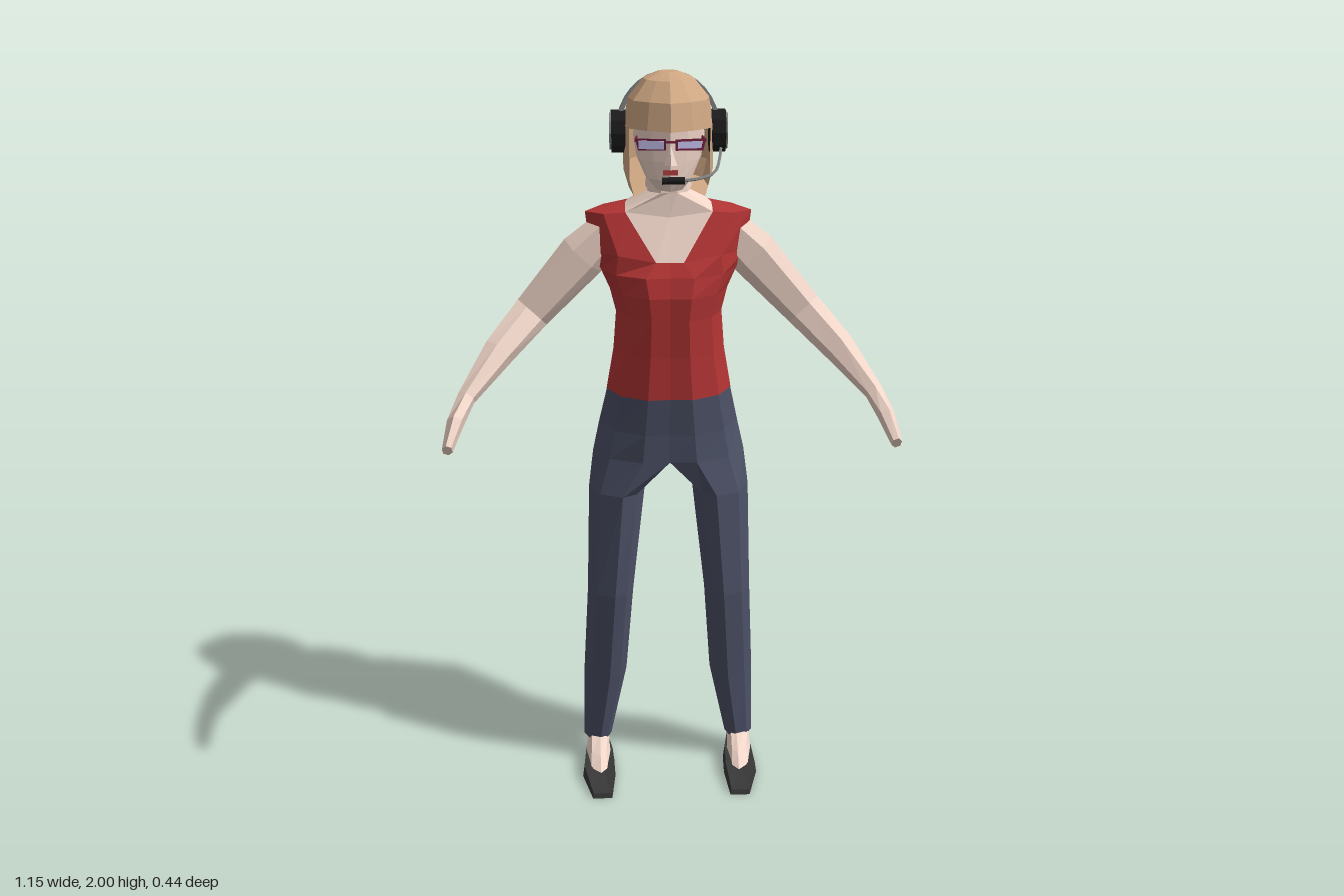
import * as THREE from 'three';

const SKIN = 0xf0d5c8, RED = 0xb23434, DENIM = 0x4c5166, HAIR = 0xcfa783,
  BLACK = 0x1c1c1c, SHOE = 0x383838, GREY = 0x858585, FRAME = 0x6e1f3a, LENS = 0xc4c0ee;

const material = (color) => new THREE.MeshStandardMaterial({ color, flatShading: true, side: THREE.DoubleSide });

function mesh(name, color, geometry, x = 0, y = 0, z = 0) {
  const m = new THREE.Mesh(geometry, material(color));
  m.name = name;
  m.position.set(x, y, z);
  return m;
}

// Skin closed rings of points; keep(row, column) selects faces, caps close the ends
function loft(name, color, rings, { keep = () => true, caps = false } = {}) {
  const out = [], n = rings[0].length;
  for (let i = 0; i < rings.length - 1; i++) {
    for (let j = 0; j < n; j++) {
      if (!keep(i, j)) continue;
      const k = (j + 1) % n;
      const [a, b, c, d] = [rings[i][j], rings[i][k], rings[i + 1][k], rings[i + 1][j]];
      out.push(...a, ...b, ...c, ...a, ...c, ...d);
    }
  }
  if (caps) [rings[0], rings.at(-1)].forEach((r, end) => {
    const mid = [0, 1, 2].map((q) => r.reduce((s, p) => s + p[q], 0) / n);
    r.forEach((p, j) => {
      const next = r[(j + 1) % n];
      out.push(...mid, ...(end ? p : next), ...(end ? next : p));
    });
  });
  const g = new THREE.BufferGeometry();
  g.setAttribute('position', new THREE.Float32BufferAttribute(out, 3));
  g.computeVertexNormals();
  return mesh(name, color, g);
}

// Half ring (front centre to back centre) completed on the other side
const whole = (half) => [...half, ...half.slice(1, -1).reverse().map(([x, y, z]) => [-x, y, z])];
const flip = (rings) => rings.map((r) => r.map(([x, y, z]) => [-x, y, z]).reverse());

const BODY = [[0, 0.96], [0.35, 1], [0.78, 0.65], [1, 0], [0.82, -0.7], [0.4, -1], [0, -0.93]];
const HEAD = [[0, 1], [0.5, 0.78], [0.88, 0.5], [1, -0.1], [0.9, -0.6], [0.45, -0.92], [0, -1]];
const section = (profile, [y, w, front, back]) => profile.map(([px, pz]) =>
  [px * w, y, (front + back) / 2 + pz * (front - back) / 2]);

// Leg ring between an inner and an outer x
const LEG = [[0.15, 0.75], [0.4, 1], [0.8, 0.7], [1, 0], [0.85, -0.7], [0.5, -1], [0.15, -0.75], [0, 0]];
const legRing = ([y, inner, outer, front, back]) => LEG.map(([t, s]) =>
  [inner + t * (outer - inner), y, (front + back) / 2 + s * (front - back) / 2]);

// Rings across a path of [x, y, z, depth, thickness]
function limb(path, sides = 6) {
  const pts = path.map(([x, y, z]) => new THREE.Vector3(x, y, z));
  return path.map(([, , , a, b], i) => {
    const t = pts[Math.min(i + 1, pts.length - 1)].clone().sub(pts[Math.max(i - 1, 0)]).normalize();
    const u = new THREE.Vector3(0, 0, 1).addScaledVector(t, -t.z).normalize();
    const v = t.clone().cross(u);
    return Array.from({ length: sides }, (_, j) => {
      const q = (j + 0.5) / sides * Math.PI * 2;
      return pts[i].clone().addScaledVector(u, a * Math.cos(q)).addScaledVector(v, b * Math.sin(q)).toArray();
    });
  });
}

export function createModel() {
  const model = new THREE.Group();
  model.name = 'woman';
  const both = (name, color, rings, options) => model.add(
    loft('left' + name, color, rings, options), loft('right' + name, color, flip(rings), options));

  // Torso: fitted top with a scooped neckline, bare chest and upper back
  const torso = [[1.185, 0.165, 0.035, -0.175], [1.3, 0.145, 0.037, -0.165], [1.4, 0.137, 0.045, -0.17],
    [1.46, 0.152, 0.05, -0.185], [1.51, 0.175, 0.038, -0.19]].map((s) => whole(section(BODY, s)));
  torso.push(
    whole([[0, 1.545, 0.013], [0.035, 1.545, 0.015], [0.13, 1.56, 0], [0.2, 1.55, -0.09],
      [0.15, 1.56, -0.165], [0.06, 1.6, -0.19], [0, 1.6, -0.185]]),
    whole([[0, 1.65, -0.03], [0.11, 1.662, -0.04], [0.165, 1.657, -0.045], [0.212, 1.655, -0.09],
      [0.165, 1.66, -0.15], [0.1, 1.67, -0.165], [0, 1.665, -0.175]]),
    whole([[0, 1.65, -0.03], [0.11, 1.662, -0.04], [0.11, 1.67, -0.06], [0.11, 1.675, -0.095],
      [0.105, 1.675, -0.13], [0.1, 1.67, -0.165], [0, 1.665, -0.175]]),
    whole(section(BODY, [1.71, 0.06, -0.035, -0.145])),
    whole(section(BODY, [1.8, 0.05, -0.04, -0.13])));
  const covered = (i, j) => i < 5 || (i < 7 && ((j >= 1 && j <= 4) || (j >= 7 && j <= 10)));
  model.add(loft('top', RED, torso, { keep: covered }));
  model.add(loft('chestAndNeck', SKIN, torso, { keep: (i, j) => !covered(i, j) }));

  // Trousers: hips, then two legs splitting at the crotch
  const hip = section(BODY, [1.0, 0.205, 0.015, -0.195]);
  model.add(loft('hips', DENIM, [whole(hip), whole(section(BODY, [1.08, 0.187, 0.02, -0.225])),
    whole(section(BODY, [1.19, 0.163, 0.033, -0.172]))]));
  const legs = [[0.07, 0.17, 0.25, -0.08, -0.16], [0.3, 0.122, 0.245, -0.045, -0.185],
    [0.59, 0.1, 0.228, 0, -0.135], [0.9, 0.065, 0.218, 0.012, -0.17]].map(legRing);
  both('TrouserLeg', DENIM, [...legs, [...hip, [0, 0.99, -0.09]]]);

  // Feet and flat shoes
  both('Foot', SKIN, [[0.03, 0.172, 0.245, 0.03, -0.155], [0.055, 0.176, 0.242, -0.02, -0.155],
    [0.085, 0.178, 0.24, -0.088, -0.152]].map(legRing));
  const sole = [[0.17, 0.11], [0.225, 0.11], [0.255, 0], [0.25, -0.08], [0.235, -0.165],
    [0.18, -0.165], [0.163, -0.08], [0.16, 0]];
  both('Shoe', SHOE, [sole.map(([x, z]) => [x, 0, z]), sole.map(([x, z]) =>
    [0.205 + (x - 0.205) * 0.9, z > 0.05 ? 0.015 : 0.035 - z * 0.06, z * 0.97])], { caps: true });

  // Arms bent forward, with closed hands
  both('Arm', SKIN, limb([[0.15, 1.61, -0.09, 0.036, 0.05], [0.22, 1.54, -0.092, 0.043, 0.063],
    [0.355, 1.39, -0.093, 0.04, 0.05], [0.44, 1.31, -0.01, 0.038, 0.042], [0.52, 1.22, 0.085, 0.028, 0.024],
    [0.545, 1.175, 0.145, 0.037, 0.022], [0.562, 1.125, 0.205, 0.026, 0.014]]), { caps: true });

  // Face
  model.add(loft('face', SKIN, [[1.725, 0.035, 0.02, -0.08], [1.755, 0.06, 0.038, -0.1],
    [1.8, 0.08, 0.037, -0.12], [1.85, 0.088, 0.035, -0.13], [1.92, 0.085, 0.035, -0.13]]
    .map((s) => whole(section(HEAD, s))), { caps: true }));
  const nose = mesh('nose', SKIN, new THREE.ConeGeometry(0.016, 0.05, 4), 0, 1.818, 0.04);
  nose.rotation.x = -0.2;
  model.add(nose, mesh('lips', 0xb04040, new THREE.BoxGeometry(0.036, 0.012, 0.012), 0, 1.775, 0.034));

  // Bobbed hair: cap with a fringe, and a curtain open at the face
  const fringe = whole(section(HEAD, [1.875, 0.112, 0.062, -0.195]));
  model.add(loft('hairCap', HAIR, [fringe, ...[[1.94, 0.1, 0.045, -0.177], [1.985, 0.062, 0.0, -0.148],
    [2.0, 0.025, -0.06, -0.11]].map((s) => whole(section(HEAD, s)))], { caps: true }));
  const dip = (s) => whole(section(HEAD, s).map(([x, y, z]) => [x, y - 0.15 * (z + 0.2), z]));
  model.add(loft('hairCurtain', HAIR, [dip([1.74, 0.06, -0.02, -0.14]), dip([1.737, 0.1, 0.055, -0.19]),
    dip([1.78, 0.113, 0.058, -0.207]), fringe], { keep: (i, j) => j >= 2 && j <= 9 }));

  // Spectacles
  const rim = new THREE.Shape([[-0.035, -0.012], [0.033, -0.014], [0.04, 0.014], [-0.035, 0.014]]
    .map((p) => new THREE.Vector2(...p)));
  rim.holes.push(new THREE.Path([[-0.03, -0.008], [-0.03, 0.009], [0.034, 0.009], [0.029, -0.009]]
    .map((p) => new THREE.Vector2(...p))));
  for (const s of [1, -1]) {
    const side = new THREE.Group();
    side.name = s > 0 ? 'leftSpectacle' : 'rightSpectacle';
    const frame = mesh('rim', FRAME, new THREE.ExtrudeGeometry(rim, { depth: 0.005, bevelEnabled: false }));
    if (s < 0) frame.rotation.y = Math.PI;
    const temple = mesh('temple', FRAME, new THREE.BoxGeometry(0.005, 0.007, 0.09), s * 0.043, 0.01, -0.042);
    temple.rotation.y = -s * 0.1;
    side.add(frame, temple, mesh('lens', LENS, new THREE.BoxGeometry(0.062, 0.02, 0.002), 0, 0, 0.001));
    side.position.set(s * 0.046, 1.842, 0.036);
    side.rotation.y = s * 0.2;
    model.add(side);
  }
  model.add(mesh('spectacleBridge', FRAME, new THREE.BoxGeometry(0.026, 0.005, 0.005), 0, 1.85, 0.045));

  // Headset: ear cups, band over the hair, and a microphone boom on the left
  for (const s of [1, -1]) {
    for (const [name, color, x, depth, ry, rz] of [['earPad', BLACK, 0.122, 0.04, 0.053, 0.042],
      ['earCup', GREY, 0.142, 0.01, 0.046, 0.034]]) {
      const g = new THREE.CylinderGeometry(1, 1, depth, 10).rotateZ(Math.PI / 2).scale(1, ry, rz);
      model.add(mesh((s > 0 ? 'left' : 'right') + name, color, g, s * x, 1.855, -0.09));
    }
  }
  const arc = new THREE.Shape();
  arc.absellipse(0, 0, 0.13, 0.144, 0, Math.PI, false);
  arc.absellipse(0, 0, 0.119, 0.134, Math.PI, 0, true);
  model.add(mesh('headband', GREY,
    new THREE.ExtrudeGeometry(arc, { depth: 0.028, bevelEnabled: false, curveSegments: 8 }), 0, 1.856, -0.108));
  const boom = new THREE.CatmullRomCurve3([[0.132, 1.83, -0.08], [0.125, 1.795, -0.04], [0.105, 1.77, 0.025],
    [0.06, 1.762, 0.052], [0.02, 1.76, 0.06]].map((p) => new THREE.Vector3(...p)));
  model.add(mesh('microphoneBoom', GREY, new THREE.TubeGeometry(boom, 10, 0.004, 5)));
  const mic = mesh('microphone', BLACK, new THREE.CylinderGeometry(0.009, 0.009, 0.055, 8), 0.006, 1.76, 0.06);
  mic.rotation.z = Math.PI / 2;
  model.add(mic);

  return model;
}
